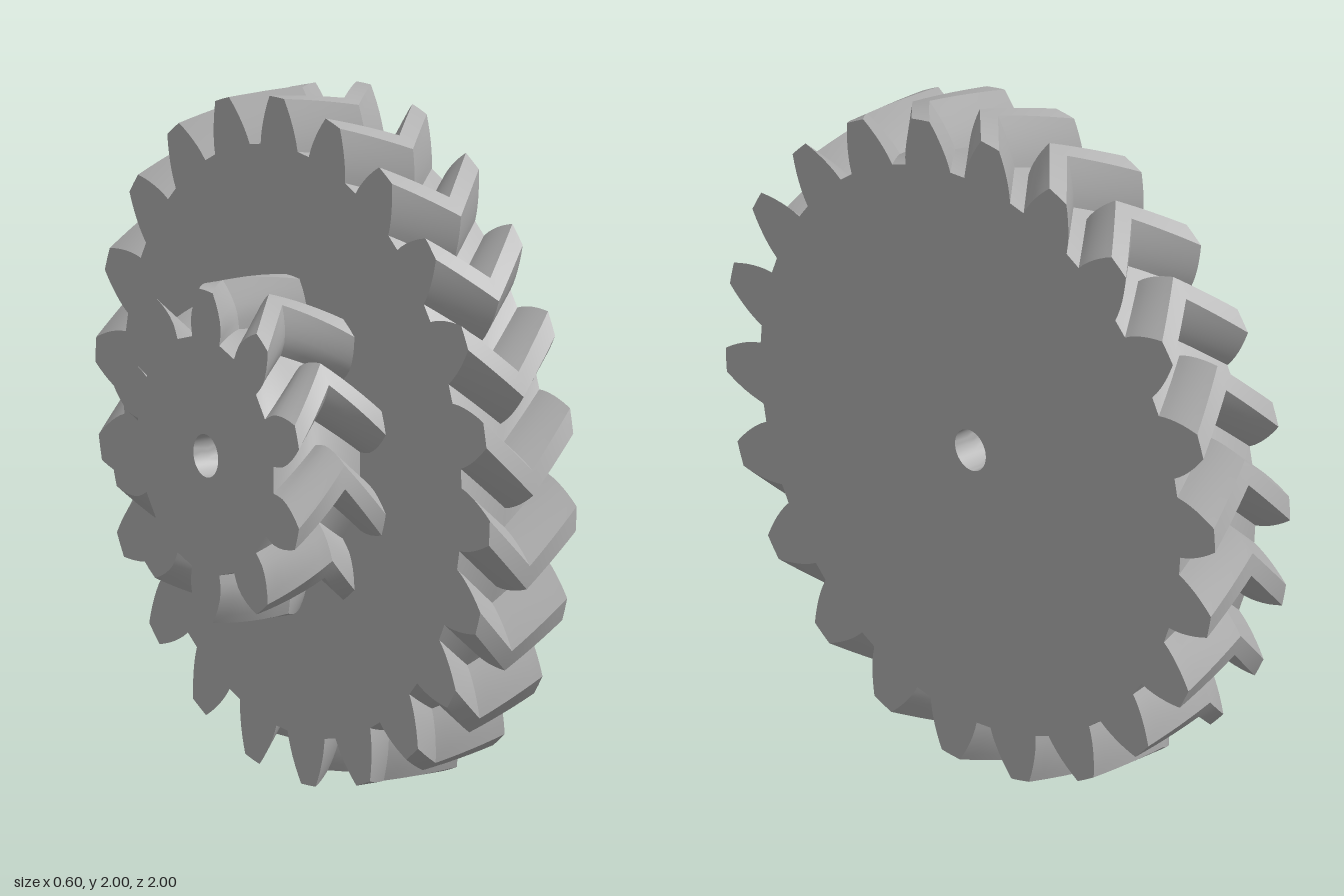
import * as THREE from 'three';
import { toCreasedNormals } from 'three/addons/utils/BufferGeometryUtils.js';

const DEG = Math.PI / 180;
const PRESSURE = 28 * DEG;
const BORE = 0.063;
const WIDTH = 0.3;

// Half the angular thickness of an involute tooth at radius r
function halfTooth(r, pitch, teeth) {
  const inv = (a) => Math.tan(a) - a;
  const base = pitch * Math.cos(PRESSURE);
  return Math.PI / 2 / teeth + inv(PRESSURE) - inv(Math.acos(Math.min(1, base / r)));
}

// Gear outline with a round bore
function gearShape({ teeth, root, pitch, outer }) {
  const shape = new THREE.Shape();
  const points = [];
  const add = (r, a) => points.push(new THREE.Vector2(-r * Math.sin(a), r * Math.cos(a)));
  const levels = 6;
  for (let t = 0; t < teeth; t++) {
    const mid = (t / teeth) * Math.PI * 2;
    for (let i = 0; i <= levels; i++) {
      const r = root + ((outer - root) * i) / levels;
      add(r, mid - halfTooth(r, pitch, teeth));
    }
    add(outer, mid);
    for (let i = levels; i >= 0; i--) {
      const r = root + ((outer - root) * i) / levels;
      add(r, mid + halfTooth(r, pitch, teeth));
    }
  }
  shape.setFromPoints(points);
  const bore = new THREE.Path();
  bore.absarc(0, 0, BORE, 0, Math.PI * 2, true);
  shape.holes.push(bore);
  return shape;
}

// Extruded gear, twisted one way to mid-width and back again
function herringboneGear(spec) {
  const geo = new THREE.ExtrudeGeometry(gearShape(spec), {
    depth: WIDTH, steps: 12, bevelEnabled: false, curveSegments: 20,
  });
  const pos = geo.attributes.position;
  const v = new THREE.Vector3();
  const axis = new THREE.Vector3(0, 0, 1);
  for (let i = 0; i < pos.count; i++) {
    v.fromBufferAttribute(pos, i);
    const toMiddle = 1 - Math.abs((2 * v.z) / WIDTH - 1);
    v.applyAxisAngle(axis, (spec.start + spec.twist * toMiddle) * DEG);
    pos.setXYZ(i, v.x, v.y, v.z);
  }
  geo.rotateY(Math.PI / 2);
  return toCreasedNormals(geo, 0.5);
}

export function createModel() {
  const model = new THREE.Group();
  model.name = 'compoundHerringboneGear';
  const grey = new THREE.MeshStandardMaterial({ color: 0xb4b4b4 });
  grey.name = 'grey';

  // Large wheel on the left, small pinion on the right
  const parts = [
    { name: 'largeGear', x: 0, teeth: 22, root: 0.858, pitch: 0.944, outer: 1, start: -4.6, twist: 9.09 },
    { name: 'smallGear', x: -WIDTH, teeth: 10, root: 0.345, pitch: 0.429, outer: 0.487, start: 0, twist: -20 },
  ];
  for (const spec of parts) {
    const mesh = new THREE.Mesh(herringboneGear(spec), grey);
    mesh.name = spec.name;
    mesh.position.set(spec.x, 1, 0);
    model.add(mesh);
  }
  return model;
}
